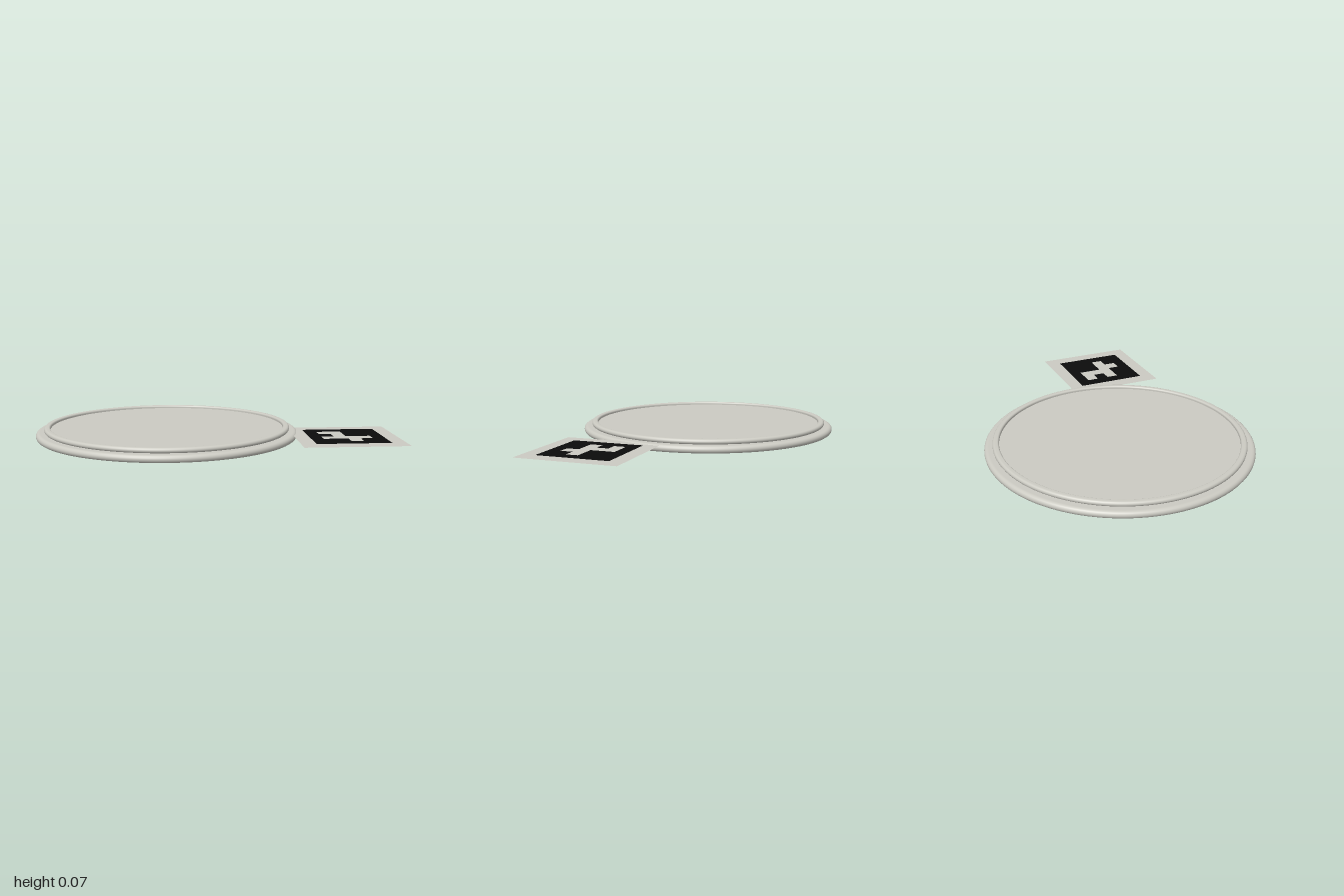
import * as THREE from 'three';

const stone = new THREE.MeshStandardMaterial({ color: 0xcbcac2, side: THREE.DoubleSide });
stone.name = 'pale grey';
const black = new THREE.MeshStandardMaterial({ color: 0x0c0c0c });
black.name = 'black';

const CARD_Y = 0.034;

// Points of an arc in the (radius, height) plane, angles in degrees
function arc(cx, cy, r, from, to, steps = 8) {
  return Array.from({ length: steps + 1 }, (_, i) => {
    const a = THREE.MathUtils.degToRad(from + ((to - from) * i) / steps);
    return new THREE.Vector2(cx + r * Math.cos(a), cy + r * Math.sin(a));
  });
}

const p = (x, y) => new THREE.Vector2(x, y);

function add(parent, name, geometry, material) {
  const mesh = new THREE.Mesh(geometry, material);
  mesh.name = name;
  parent.add(mesh);
  return mesh;
}

export function createModel() {
  const model = new THREE.Group();
  model.name = 'plateWithMarker';

  const plate = new THREE.Group();
  plate.name = 'plate';
  plate.position.x = -0.255;
  model.add(plate);

  // Wide base disc with a rounded edge
  const base = [p(0, 0), p(0.72, 0), ...arc(0.725, 0.02, 0.02, -90, 90), p(0.72, 0.04), p(0.64, 0.04)];
  add(plate, 'base', new THREE.LatheGeometry(base, 128), stone);

  // Raised rim, rounded outside and inside
  const rim = [p(0.66, 0.04), ...arc(0.685, 0.054, 0.014, -90, 90), ...arc(0.673, 0.058, 0.01, 90, 180), p(0.663, 0.05)];
  add(plate, 'rim', new THREE.LatheGeometry(rim, 128), stone);

  // Recessed face inside the rim
  const face = add(plate, 'face', new THREE.CircleGeometry(0.666, 128), stone);
  face.rotation.x = -Math.PI / 2;
  face.position.y = 0.051;

  // Square card beside the plate
  const card = new THREE.Group();
  card.name = 'markerCard';
  card.position.set(0.717, CARD_Y, 0.297);
  card.rotation.x = -Math.PI / 2;
  model.add(card);
  add(card, 'card', new THREE.PlaneGeometry(0.565, 0.565), stone);

  // Black six-by-six cell square with a stepped cut-out (columns right, rows down)
  const cell = 0.0677;
  const at = ([c, r]) => p((c - 3) * cell, (3 - r) * cell);
  const square = new THREE.Shape([[0, 0], [0, 6], [6, 6], [6, 0]].map(at));
  const cutOut = [[1, 1], [3, 1], [3, 3], [5, 3], [5, 4], [4, 4], [4, 5],
    [3, 5], [3, 4], [1, 4], [1, 3], [2, 3], [2, 2], [1, 2]];
  square.holes.push(new THREE.Path(cutOut.map(at)));
  add(card, 'markerPattern', new THREE.ShapeGeometry(square), black).position.z = 0.002;

  return model;
}
